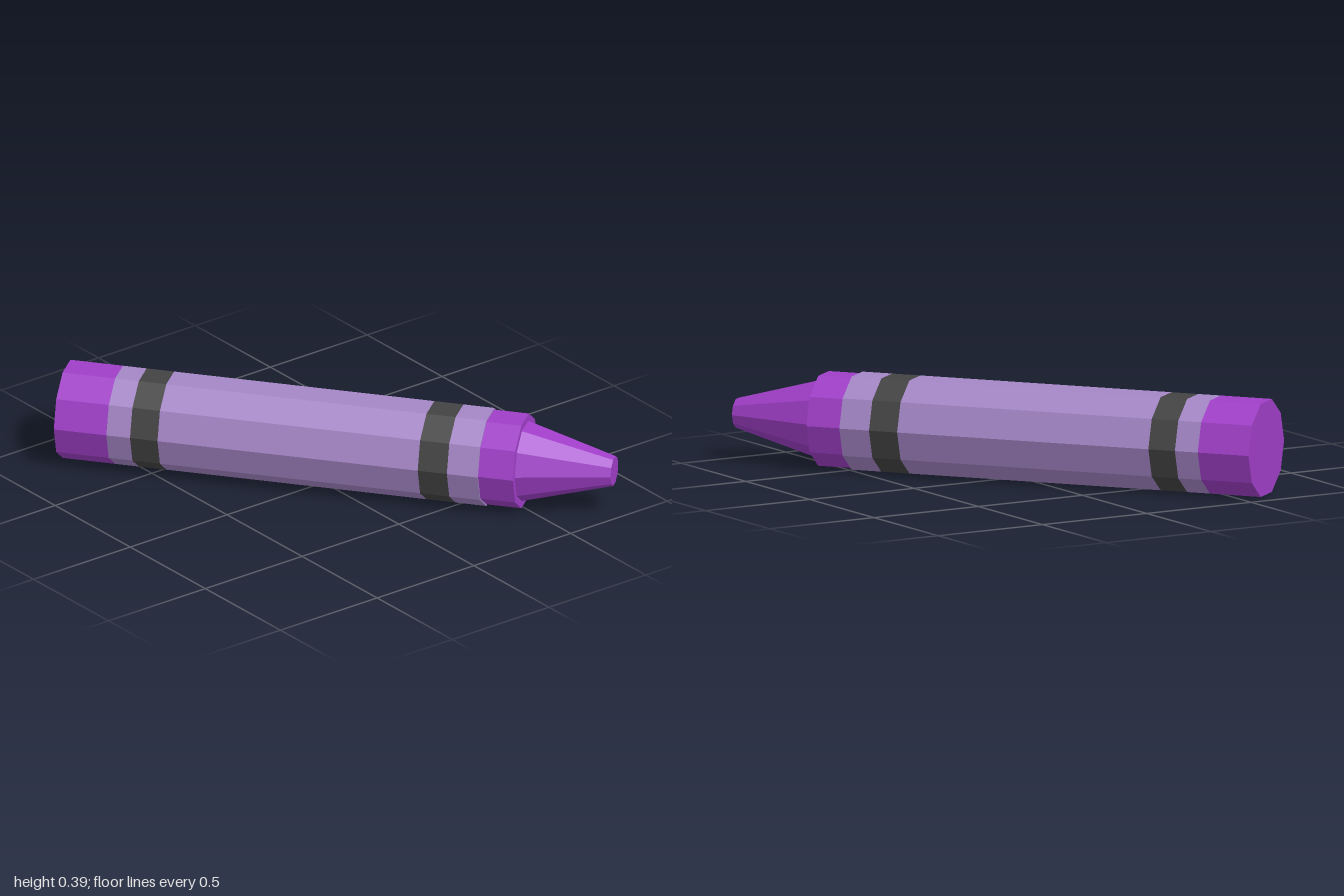
import * as THREE from 'three';

const SIDES = 10;
const R = 0.203;        // wrapper radius
const WAX_R = 0.196;    // exposed wax shoulder radius
const LENGTH = 2.314;

const material = (color) => new THREE.MeshStandardMaterial({ color, flatShading: true });

export function createModel() {
  const wax = material(0xa03ec8);
  const paper = material(0xa486c6);
  const band = material(0x434343);

  const crayon = new THREE.Group();
  crayon.name = 'crayon';

  // Faceted ring section from a [radius, distance along axis] profile, laid along +z
  const section = (name, mat, profile) => {
    const points = profile.map(([r, d]) => new THREE.Vector2(r, d));
    const geometry = new THREE.LatheGeometry(points, SIDES, Math.PI / 2).toNonIndexed();
    geometry.rotateX(Math.PI / 2);
    geometry.computeVertexNormals();
    const mesh = new THREE.Mesh(geometry, mat);
    mesh.name = name;
    crayon.add(mesh);
  };

  // Wax butt with a flat closed end
  section('waxEnd', wax, [[0, 0], [R, 0], [R, 0.222]]);

  // Paper wrapper with two flush dark bands
  section('wrapperBack', paper, [[R, 0.222], [R, 0.322]]);
  section('bandBack', band, [[R, 0.322], [R, 0.438]]);
  section('wrapperMiddle', paper, [[R, 0.438], [R, 1.537]]);
  section('bandFront', band, [[R, 1.537], [R, 1.66]]);
  section('wrapperFront', paper, [[R, 1.66], [R, 1.79], [WAX_R, 1.79]]);

  // Wax shoulder, then the inset cone with a blunt tip
  section('shoulder', wax, [[WAX_R, 1.79], [WAX_R, 1.937], [0.166, 1.937]]);
  section('tip', wax, [[0.166, 1.937], [0.062, LENGTH], [0, LENGTH]]);

  // Lay the crayon diagonally on the ground
  crayon.position.set(-0.649, R * Math.sin(THREE.MathUtils.degToRad(72)), -0.877);
  crayon.rotation.y = Math.atan2(1.405, 1.839);

  const model = new THREE.Group();
  model.name = 'model';
  model.add(crayon);
  return model;
}
